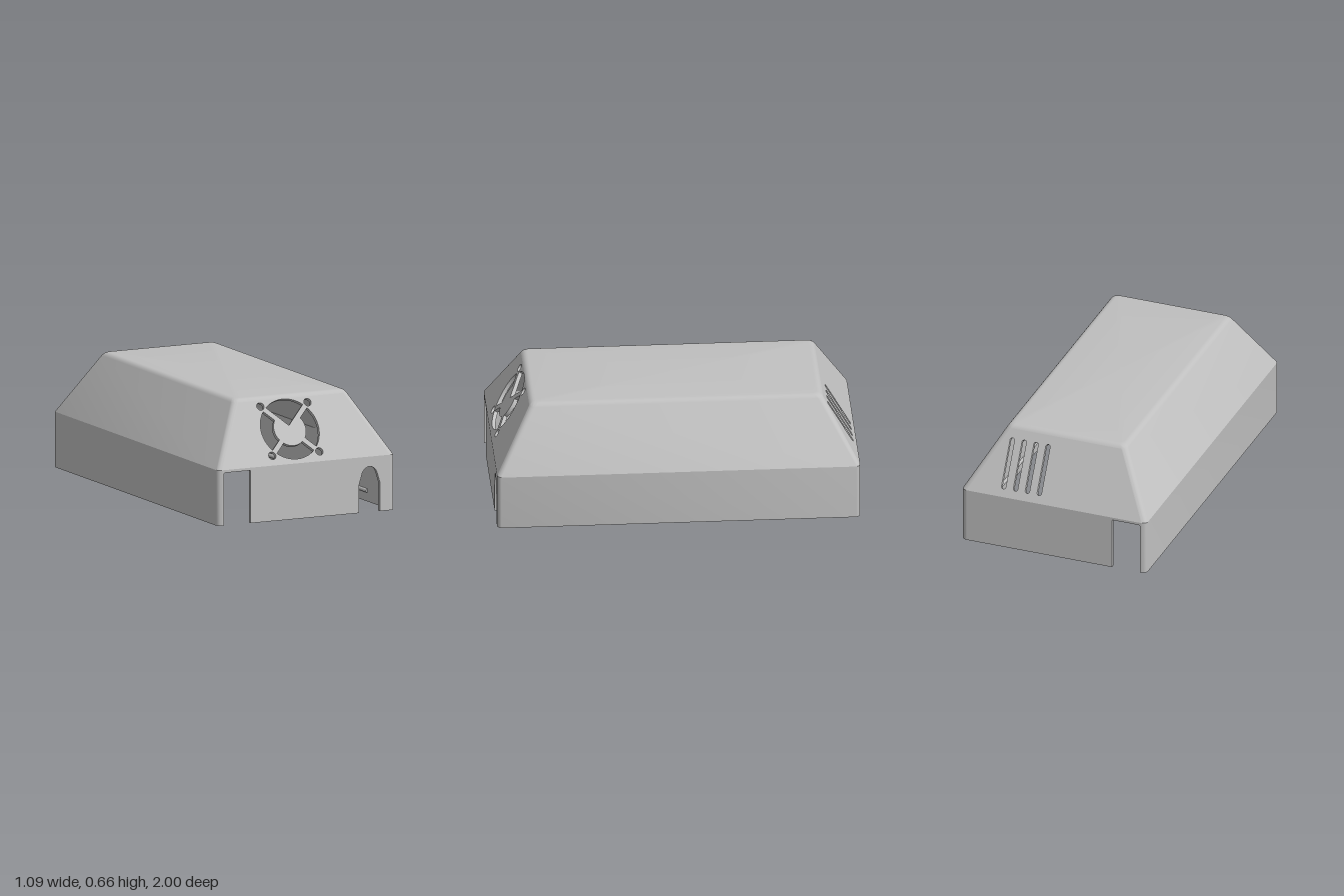
import * as THREE from 'three';
import { toCreasedNormals } from 'three/addons/utils/BufferGeometryUtils.js';

const HW = 0.545, HL = 1, T = 0.022;      // half width, half length, wall thickness
const WALL = 0.31, TOP = 0.66;            // height of the crease and of the roof
const R = 0.03, RF = 0.04;                // corner and roof edge radii
const TILT = Math.PI / 6, C = Math.cos(TILT), TAN = Math.tan(TILT);
const INSET = (TOP - WALL) * TAN + RF * TAN;  // where the flat roof begins
const STEPS = 6, ARC = 4;

// Shell profile from inner roof, down and round the rim, up to the outer roof
function shellProfile() {
  const fillet = (rad, r, i) => {
    const a = TILT + (i / ARC) * (Math.PI / 2 - TILT);
    return [INSET - rad * Math.cos(a), TOP - RF + rad * Math.sin(a), r];
  };
  const rows = [];
  for (let i = ARC; i >= 0; i--) rows.push(fillet(RF - T, R - T, i));
  rows.push([T, WALL - 0.268 * T, R - T], [T, 0, R - T], [0, 0, R], [0, WALL, R]);
  for (let i = 0; i <= ARC; i++) rows.push(fillet(RF, R, i));
  return rows;
}

// Rounded rectangle ring at one profile row
function ring([inset, y, r]) {
  const pts = [];
  [[1, 1], [-1, 1], [-1, -1], [1, -1]].forEach(([sx, sz], c) => {
    for (let k = 0; k <= STEPS; k++) {
      const a = (c + k / STEPS) * Math.PI / 2;
      pts.push([sx * (HW - inset - r) + r * Math.cos(a), y, sz * (HL - inset - r) + r * Math.sin(a)]);
    }
  });
  return pts;
}

function shellGeometry() {
  const rings = shellProfile().map(ring), n = rings[0].length, pos = [];
  const tri = (...p) => p.forEach(q => pos.push(...q));
  const last = rings.length - 1;
  for (let j = 0; j < n; j++) {
    const k = (j + 1) % n;
    const endFlat = j === STEPS || j === 3 * STEPS + 2;
    for (let i = 0; i < last; i++) {
      // front and back flats are left open for the cut panels
      if (endFlat && i >= ARC && i <= ARC + 4) continue;
      const a = rings[i][j], b = rings[i][k], c = rings[i + 1][k], d = rings[i + 1][j];
      tri(a, c, b, a, d, c);
    }
    tri([0, TOP, 0], rings[last][k], rings[last][j]);
    tri([0, TOP - T, 0], rings[0][j], rings[0][k]);
  }
  const g = new THREE.BufferGeometry();
  g.setAttribute('position', new THREE.Float32BufferAttribute(pos, 3));
  return toCreasedNormals(g, 0.4);
}

// Extruded panel whose outer face lies at z = 0
function panelGeometry(shape) {
  const g = new THREE.ExtrudeGeometry(shape, { depth: T, bevelEnabled: false, curveSegments: 20 });
  g.translate(0, 0, -T);
  return toCreasedNormals(g, 0.5);
}

// Upright end wall; s flips x for the back, arch adds the cable opening
function wallShape(s, arch) {
  const w = HW - R, h = 0.295, r = 0.008, s0 = new THREE.Shape();
  const x0 = s * -0.507, x1 = s * -0.343;
  s0.moveTo(-s * w, 0);
  s0.lineTo(x0, 0);
  s0.lineTo(x0, h - r);
  s0.quadraticCurveTo(x0, h, x0 + s * r, h);
  s0.lineTo(x1 - s * r, h);
  s0.quadraticCurveTo(x1, h, x1, h - r);
  s0.lineTo(x1, 0);
  if (arch) {
    s0.lineTo(0.326, 0);
    s0.lineTo(0.326, 0.16);
    s0.lineTo(0.345, 0.222);
    s0.bezierCurveTo(0.355, 0.243, 0.372, 0.255, 0.39, 0.255);
    s0.bezierCurveTo(0.408, 0.255, 0.425, 0.243, 0.435, 0.222);
    s0.lineTo(0.454, 0.16);
    s0.lineTo(0.454, 0);
  }
  s0.lineTo(s * w, 0);
  s0.lineTo(s * w, WALL);
  s0.lineTo(-s * w, WALL);
  return s0;
}

function slopeShape(holes) {
  const rise = TOP - RF + RF * Math.sin(TILT) - WALL, w = HW - R, wt = w - rise * TAN, v = rise / C;
  const s = new THREE.Shape([[-w, 0], [w, 0], [wt, v], [-wt, v]].map(p => new THREE.Vector2(...p)));
  s.holes.push(...holes);
  return s;
}

// Fan grille: four sectors between diagonal spokes, plus screw holes
function fanHoles() {
  const cx = -0.05, cy = 0.202, ro = 0.176, ri = 0.0975, half = 0.0148, holes = [];
  for (let q = 0; q < 4; q++) {
    const mid = q * Math.PI / 2, p = new THREE.Path();
    const ao = Math.PI / 4 - Math.asin(half / ro), ai = Math.PI / 4 - Math.asin(half / ri);
    p.absarc(cx, cy, ro, mid - ao, mid + ao, false);
    if (q === 1) p.lineTo(cx, cy + half * Math.SQRT2);   // top sector runs to the centre
    else p.absarc(cx, cy, ri, mid + ai, mid - ai, true);
    p.closePath();
    holes.push(p);
    const a = mid + Math.PI / 4, d = 0.145 * Math.SQRT2;
    holes.push(new THREE.Path().absarc(cx + d * Math.cos(a), cy + d * Math.sin(a), 0.022, 0, Math.PI * 2, false));
  }
  return holes;
}

// Four long rounded vent slots
function slotHoles() {
  return [0.097, 0.167, 0.237, 0.307].map(x => {
    const p = new THREE.Path(), r = 0.013;
    p.absarc(-x, 0.33 - r, r, 0, Math.PI, false);
    p.absarc(-x, 0.045 + r, r, Math.PI, Math.PI * 2, false);
    p.closePath();
    return p;
  });
}

export function createModel() {
  const grey = new THREE.MeshStandardMaterial({ color: 0xc0c0c0 });
  grey.name = 'grey plastic';
  const model = new THREE.Group();
  model.name = 'cover';
  const add = (parent, name, geometry) => {
    const m = new THREE.Mesh(geometry, grey);
    m.name = name;
    parent.add(m);
    return m;
  };
  add(model, 'shell', shellGeometry());

  // End panels
  [['front', 1, fanHoles()], ['back', -1, slotHoles()]].forEach(([name, s, holes]) => {
    const end = new THREE.Group();
    end.name = name + 'End';
    end.rotation.y = s > 0 ? 0 : Math.PI;
    add(end, name + 'Wall', panelGeometry(wallShape(s, s > 0))).position.z = HL;
    const slope = add(end, name + 'Slope', panelGeometry(slopeShape(holes)));
    slope.position.set(0, WALL, HL);
    slope.rotation.x = -TILT;
    model.add(end);
  });

  // Snap ribs inside the long walls
  for (const s of [-1, 1]) {
    const rib = add(model, s > 0 ? 'leftRib' : 'rightRib', new THREE.CylinderGeometry(0.011, 0.011, 1.43, 12));
    rib.rotation.x = Math.PI / 2;
    rib.position.set(s * (HW - T), 0.06, 0);
  }
  return model;
}
